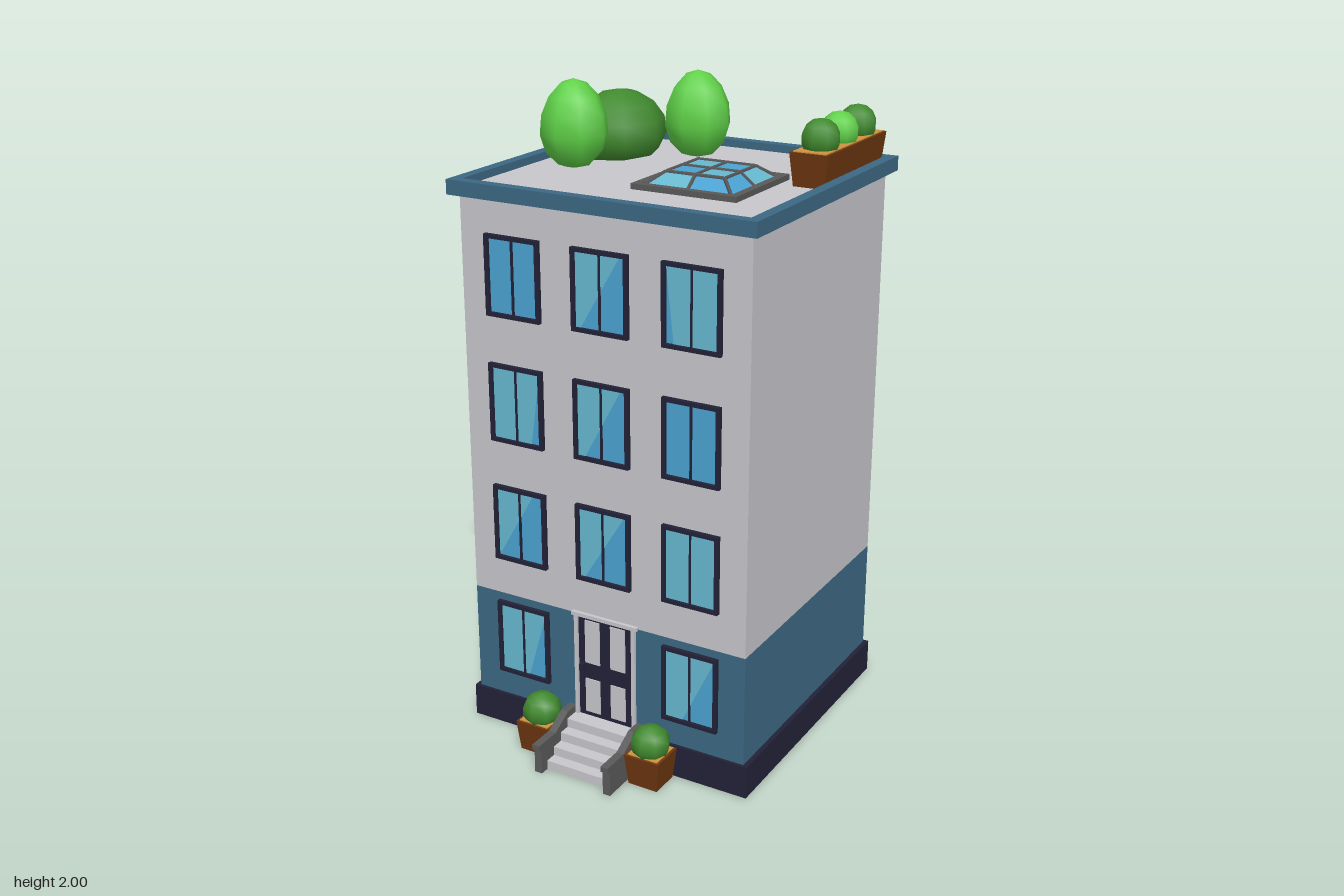
import * as THREE from 'three';

const mat = (name, color, side = THREE.FrontSide) => {
  const m = new THREE.MeshStandardMaterial({ color, side });
  m.name = name;
  return m;
};

export function createModel() {
  const M = {
    wall: mat('pale grey', 0xc6c6cc),
    blue: mat('slate blue', 0x3c6883),
    navy: mat('dark navy', 0x222238),
    grey: mat('dark grey', 0x5a5a5a),
    glass: mat('blue glass', 0x4ba3d2, THREE.DoubleSide),
    shine: mat('light glass', 0x66b9d0, THREE.DoubleSide),
    pot: mat('brown clay', 0x6e3610),
    soil: mat('ochre soil', 0xcf9440),
    leaf: mat('bright green', 0x5fd047),
    dark: mat('deep green', 0x418a2f),
  };
  const root = new THREE.Group();
  root.name = 'townHouse';

  const add = (parent, name, geo, material, x = 0, y = 0, z = 0) => {
    const mesh = new THREE.Mesh(geo, material);
    mesh.name = name;
    mesh.position.set(x, y, z);
    parent.add(mesh);
    return mesh;
  };
  const group = (name, x, y, z, parent = root) => {
    const g = new THREE.Group();
    g.name = name;
    g.position.set(x, y, z);
    parent.add(g);
    return g;
  };
  const box = (w, h, d) => new THREE.BoxGeometry(w, h, d);
  const shape = pts => new THREE.Shape(pts.map(p => new THREE.Vector2(...p)));
  const rect = (w, h) => [[-w / 2, -h / 2], [w / 2, -h / 2], [w / 2, h / 2], [-w / 2, h / 2]];
  const extrude = (s, depth) => new THREE.ExtrudeGeometry(s, { depth, bevelEnabled: false });
  // Rectangular frame facing +z
  const frame = (w, h, t, depth) => {
    const s = shape(rect(w, h));
    s.holes.push(shape(rect(w - 2 * t, h - 2 * t)));
    return extrude(s, depth);
  };
  const upright = geo => geo.rotateX(-Math.PI / 2);

  // Building shell, open underneath
  const CZ = -0.09;
  add(root, 'plinth', upright(frame(0.98, 0.9, 0.022, 0.105)), M.navy, 0, 0, CZ);
  add(root, 'upperWalls', upright(frame(0.95, 0.88, 0.01, 1.265)), M.wall, 0, 0.46, CZ);
  const lower = shape([[-0.1, -0.44], [-0.1, -0.43], [-0.465, -0.43], [-0.465, 0.43], [0.465, 0.43],
    [0.465, -0.43], [0.1, -0.43], [0.1, -0.44], [0.475, -0.44], [0.475, 0.44], [-0.475, 0.44], [-0.475, -0.44]]);
  add(root, 'lowerWalls', upright(extrude(lower, 0.36)), M.blue, 0, 0.1, CZ);
  add(root, 'roofRim', upright(frame(1, 0.945, 0.035, 0.045)), M.blue, 0, 1.715, -0.0925);
  add(root, 'roofDeck', box(0.94, 0.012, 0.885), M.wall, 0, 1.73, -0.0925);

  // Pane with a slanted reflection: [bottom start, bottom end, top start, top end]
  const pane = (parent, w, h, y, z, [a, b, c, d]) => {
    add(parent, 'glass', new THREE.PlaneGeometry(w, h), M.glass, 0, y, z);
    if (b - a + d - c <= 0) return;
    const X = u => (u - 0.5) * w;
    const pts = [[X(a), -h / 2], [X(b), -h / 2], [X(d), h / 2], [X(c), h / 2]];
    add(parent, 'glassReflection', new THREE.ShapeGeometry(shape(pts)), M.shine, 0, y, z + 0.002);
  };

  // Front windows, rows from the bottom
  const none = [0, 0, 0, 0], full = [0, 1, 0, 1];
  const rows = [
    [0.312, [[0, 0.6, 0, 1], null, [0, 0.35, 0, 1]]],
    [0.705, [[0, 0, 0, 0.8], [0, 0.1, 0, 0.95], full]],
    [1.096, [[0, 0.8, 0, 1], [0, 0.15, 0, 0.9], none]],
    [1.488, [none, [0, 0.1, 0, 0.9], [0.15, 1, 0, 1]]],
  ];
  for (const [y, looks] of rows) {
    looks.forEach((look, i) => {
      if (!look) return;
      const win = group('frontWindow', (i - 1) * 0.295, y, 0.35);
      add(win, 'windowFrame', frame(0.186, 0.246, 0.012, 0.014), M.navy);
      add(win, 'windowMullion', box(0.004, 0.23, 0.012), M.navy, 0, 0, 0.006);
      pane(win, 0.164, 0.224, 0, 0.003, look);
    });
  }

  // Stepped stair windows on the back
  for (let i = 0; i < 3; i++) {
    const win = group('stairWindow', 0.255 - i * 0.255, 1.28 - i * 0.203, -0.53);
    win.rotation.y = Math.PI;
    add(win, 'stairWindowFrame', frame(0.175, 0.66, 0.018, 0.014), M.grey);
    for (let k = 0; k < 7; k++) {
      const y = (k - 3) * 0.091;
      pane(win, 0.14, 0.09, y, 0.003, [0.1, 0.45, 0.5, 0.85]);
      if (k) add(win, 'stairWindowBar', box(0.14, 0.014, 0.012), M.grey, 0, y - 0.0455, 0.006);
    }
  }

  // Double front door
  const door = group('frontDoor', 0, 0.288, 0.345);
  add(door, 'doorLeaf', box(0.19, 0.345, 0.014), M.navy);
  add(door, 'doorLintel', box(0.23, 0.012, 0.022), M.wall, 0, 0.174, 0.006);
  for (const s of [-1, 1]) {
    add(door, 'doorJamb', box(0.012, 0.345, 0.022), M.wall, s * 0.101, 0, 0.004);
    for (const face of [-1, 1]) {
      add(door, 'upperPanel', box(0.052, 0.145, 0.005), M.wall, s * 0.045, 0.085, face * 0.008);
      add(door, 'lowerPanel', box(0.052, 0.115, 0.005), M.wall, s * 0.045, -0.1, face * 0.008);
    }
  }
  add(door, 'doorHandle', box(0.014, 0.025, 0.016), M.navy, -0.081, -0.005, 0.012);

  // Entrance steps with side walls
  const steps = group('entranceSteps', 0, 0, 0);
  [0.52, 0.483, 0.443, 0.405].forEach((z, i) => {
    const h = 0.029 * (i + 1);
    add(steps, 'step', box(0.22, h, z - 0.34), M.wall, 0, h / 2, (z + 0.34) / 2);
  });
  const cheek = shape([[0.345, 0], [0.55, 0], [0.55, 0.08], [0.562, 0.083], [0.562, 0.1], [0.47, 0.1], [0.4, 0.138], [0.345, 0.138]]);
  for (const x of [-0.109, 0.134]) {
    add(steps, 'stepSideWall', extrude(cheek, 0.025).rotateY(-Math.PI / 2), M.grey, x, 0, 0);
  }

  // Tapered box planter with soil
  const planter = (name, w, d, h, x, y, z) => {
    const g = group(name, x, y, z);
    const geo = box(w, h, d);
    const p = geo.attributes.position;
    for (let i = 0; i < p.count; i++) {
      if (p.getY(i) < 0) p.setXYZ(i, p.getX(i) - Math.sign(p.getX(i)) * 0.01, p.getY(i), p.getZ(i) - Math.sign(p.getZ(i)) * 0.01);
    }
    geo.computeVertexNormals();
    add(g, 'planterBox', geo, M.pot, 0, h / 2, 0);
    add(g, 'soil', box(w - 0.016, 0.004, d - 0.016), M.soil, 0, h + 0.001, 0);
    return g;
  };
  // Soft low-poly foliage, egg shaped when taper is positive
  const foliage = (parent, name, material, size, pos, taper = 0) => {
    const geo = new THREE.SphereGeometry(1, 8, 7);
    const p = geo.attributes.position;
    for (let i = 0; i < p.count; i++) {
      const k = 1 - taper * p.getY(i);
      p.setXYZ(i, p.getX(i) * k * size[0], p.getY(i) * size[1], p.getZ(i) * k * size[2]);
    }
    geo.computeVertexNormals();
    return add(parent, name, geo, material, ...pos);
  };

  // Potted bushes beside the door
  for (const s of [-1, 1]) {
    const g = planter('doorPlanter', 0.118, 0.115, 0.1, s * 0.195, 0, 0.415);
    foliage(g, 'doorBush', M.dark, [0.062, 0.058, 0.062], [0, 0.13, 0]);
  }
  // Long roof planter
  const long = planter('roofPlanter', 0.12, 0.425, 0.1, 0.406, 1.736, -0.331);
  [-0.13, 0, 0.13].forEach((z, i) => {
    foliage(long, 'roofBush', i === 1 ? M.leaf : M.dark, [0.06, 0.06, 0.06], [0, 0.13, z]);
  });
  // Roof trees
  foliage(root, 'frontTree', M.leaf, [0.105, 0.135, 0.105], [-0.335, 1.865, -0.045], 0.12);
  foliage(root, 'backTree', M.leaf, [0.105, 0.135, 0.105], [-0.09, 1.865, -0.37], 0.12);
  foliage(root, 'largeShrub', M.dark, [0.143, 0.12, 0.178], [-0.325, 1.815, -0.285], 0.1);

  // Skylight: glazed frustum in a grey curb
  const sky = group('skylight', 0.14, 1.735, -0.033);
  add(sky, 'skylightCurb', upright(frame(0.34, 0.335, 0.024, 0.018)), M.grey);
  const B = 0.148, T = 0.095, H = 0.047;
  const quad = (name, pts, material) => {
    const geo = new THREE.BufferGeometry();
    geo.setAttribute('position', new THREE.Float32BufferAttribute(pts.flat(), 3));
    geo.setIndex([0, 1, 2, 0, 2, 3]);
    geo.computeVertexNormals();
    add(sky, name, geo, material);
  };
  const bar = (a, b) => {
    const curve = new THREE.LineCurve3(new THREE.Vector3(...a), new THREE.Vector3(...b));
    add(sky, 'skylightBar', new THREE.TubeGeometry(curve, 1, 0.006, 4), M.grey);
  };
  for (let i = 0; i < 4; i++) {
    const c = [1, 0, -1, 0][i], s = [0, 1, 0, -1][i];
    // Point at distance r out and t sideways on this side
    const P = (r, t, y) => [r * c + t * s, y, r * s - t * c];
    quad('slopedPaneA', [P(B, 0, 0.004), P(B, B, 0.004), P(T, T, H), P(T, 0, H)], i % 2 ? M.glass : M.shine);
    quad('slopedPaneB', [P(B, -B, 0.004), P(B, 0, 0.004), P(T, 0, H), P(T, -T, H)], i % 2 ? M.shine : M.glass);
    quad('topPane', [P(0, 0, H), P(T, 0, H), P(T, T, H), P(0, T, H)], i % 2 ? M.shine : M.glass);
    bar(P(B, B, 0.006), P(T, T, H));
    bar(P(B, 0, 0.006), P(T, 0, H));
    bar(P(T, -T, H), P(T, T, H));
    bar(P(0, 0, H), P(T, 0, H));
  }
  return root;
}
